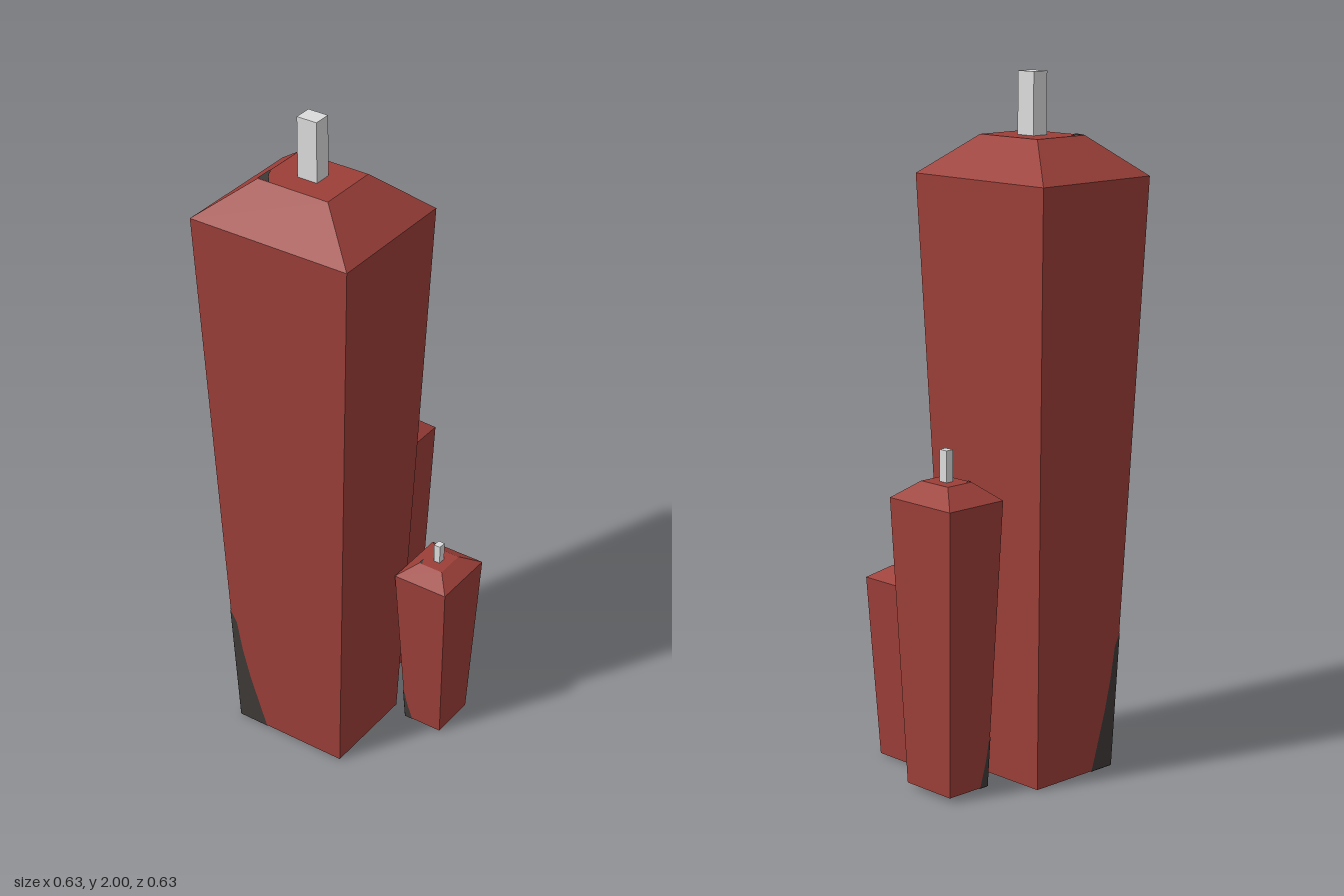
import * as THREE from 'three';

const wax = new THREE.MeshStandardMaterial({ color: 0x9c3f39 });
wax.name = 'redWax';
const wickMat = new THREE.MeshStandardMaterial({ color: 0xdcdcdc });
wickMat.name = 'paleWick';
const soot = new THREE.MeshStandardMaterial({ color: 0x3e3a38, side: THREE.DoubleSide });
soot.name = 'darkStain';

// Stain edge as fractions of its width and height, measured from the corner
const STAIN = [[0, 1], [0.19, 0.9], [0.31, 0.66], [0.5, 0.43], [0.77, 0.19], [1, 0]];

function flatGeometry(triangles) {
  const g = new THREE.BufferGeometry().setFromPoints(triangles);
  g.computeVertexNormals();
  return g;
}

function part(name, geometry, material) {
  const m = new THREE.Mesh(geometry, material);
  m.name = name;
  return m;
}

// Four corners in the order front -x, front +x, back +x, back -x
function ring([hx, hz], y) {
  return [[-1, 1], [1, 1], [1, -1], [-1, -1]].map(([sx, sz]) => new THREE.Vector3(sx * hx, y, sz * hz));
}

// Thin patch at corner o of the face o, a (along), b (up), c (opposite)
function stain(name, [o, a, b, c], w, h, normal) {
  const at = (u, v) => o.clone().lerp(a, u).lerp(b.clone().lerp(c, u), v).addScaledVector(normal, 0.002);
  const pts = STAIN.map(([u, v]) => at(u * w, v * h));
  const tris = [];
  for (let i = 0; i < pts.length - 1; i++) tris.push(at(0, 0), pts[i + 1], pts[i]);
  return part(name, flatGeometry(tris), soot);
}

function candle({ name, x, z, y0, rimY, capY, tipY, base, rim, cap, wick, spread }) {
  const group = new THREE.Group();
  group.name = name;
  group.position.set(x, 0, z);
  const b = ring(base, y0), r = ring(rim, rimY), c = ring(cap, capY);

  // Tapered body with a bevelled shoulder
  const tris = [];
  const quad = (p, q, s, t) => tris.push(p, q, s, p, s, t);
  for (let i = 0; i < 4; i++) {
    const j = (i + 1) % 4;
    quad(b[i], b[j], r[j], r[i]);
    quad(r[i], r[j], c[j], c[i]);
  }
  quad(c[0], c[1], c[2], c[3]);
  quad(b[0], b[3], b[2], b[1]);
  group.add(part('waxBody', flatGeometry(tris), wax));

  // Square wick
  const wickGeo = new THREE.BoxGeometry(wick[0] * 2, tipY - capY, wick[1] * 2);
  wickGeo.translate(0, (tipY + capY) / 2, 0);
  group.add(part('wick', wickGeo, wickMat));

  // Dark stains around the front -x corner
  const V = (...n) => new THREE.Vector3(...n);
  group.add(
    stain('frontStain', [b[0], b[1], r[0], r[1]], 0.27 * spread, 0.235 * spread, V(0, 0, 1)),
    stain('sideStain', [b[0], b[3], r[0], r[3]], 0.27 * spread, 0.235 * spread, V(-1, 0, 0)),
    stain('capStain', [c[0], c[1], c[3], c[2]], 0.17 * spread, 0.29 * spread, V(0, 1, 0)),
    stain('baseStain', [b[0], b[1], b[3], b[2]], 0.27 * spread, 0.27 * spread, V(0, -1, 0)),
  );
  return group;
}

export function createModel() {
  const model = new THREE.Group();
  model.name = 'candles';
  model.add(
    candle({
      name: 'tallCandle', x: -0.064, z: 0.107, y0: 0.002, rimY: 1.715, capY: 1.825, tipY: 2,
      base: [0.181, 0.15], rim: [0.251, 0.207], cap: [0.112, 0.092], wick: [0.031, 0.026], spread: 1,
    }),
    candle({
      name: 'mediumCandle', x: -0.06, z: -0.217, y0: 0.015, rimY: 0.845, capY: 0.895, tipY: 0.985,
      base: [0.0875, 0.072], rim: [0.1215, 0.1], cap: [0.054, 0.0445], wick: [0.0145, 0.012], spread: 0.75,
    }),
    candle({
      name: 'smallCandle', x: 0.229, z: -0.088, y0: 0.002, rimY: 0.54, capY: 0.573, tipY: 0.63,
      base: [0.061, 0.072], rim: [0.086, 0.1], cap: [0.0385, 0.045], wick: [0.01, 0.012], spread: 0.8,
    }),
  );
  return model;
}
